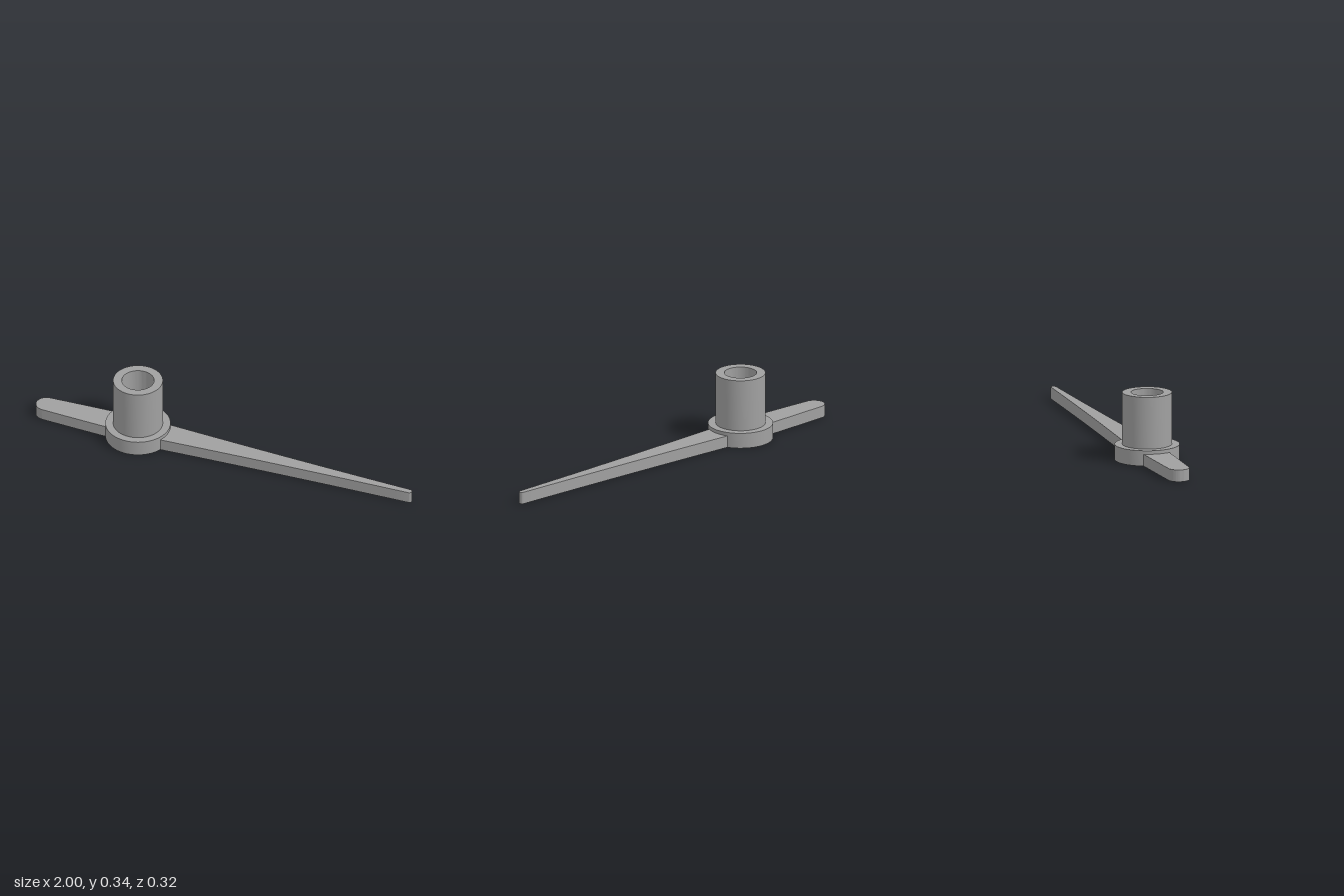
import * as THREE from 'three';
import { toCreasedNormals } from 'three/addons/utils/BufferGeometryUtils.js';

const HUB_X = -0.46, HUB_R = 0.161, ARM_H = 0.06;

export function createModel() {
  const model = new THREE.Group();
  model.name = 'pointerHand';
  const grey = new THREE.MeshStandardMaterial({ color: 0xa0a0a0 });
  grey.name = 'plain grey';

  const add = (name, geometry) => {
    const mesh = new THREE.Mesh(toCreasedNormals(geometry, 0.5), grey);
    mesh.name = name;
    model.add(mesh);
    return mesh;
  };

  // Flanged hub with hollow barrel, shaft hole and underside recess
  const profile = [
    [0.043, 0.03], [0.08, 0.03], [0.08, 0], [HUB_R, 0], [HUB_R, 0.078],
    [0.123, 0.078], [0.123, 0.34], [0.08, 0.34], [0.08, 0.078],
    [0.043, 0.078], [0.043, 0.03],
  ].map(([r, y]) => new THREE.Vector2(r, y));
  add('hub', new THREE.LatheGeometry(profile, 64)).position.x = HUB_X;

  // Arm outline: starts on the hub rim, tapers to a round end at distance `length`.
  // `bow` is the half width at the taper's control point.
  const arm = (name, length, rootHalf, bow, endR, side) => {
    const a = Math.asin(rootHalf / HUB_R);
    const rootX = HUB_R * Math.cos(a), endX = length - endR;
    const midX = (rootX + endX) / 2;
    const s = new THREE.Shape();
    s.moveTo(rootX, -rootHalf);
    s.quadraticCurveTo(midX, -bow, endX, -endR);
    s.absarc(endX, 0, endR, -Math.PI / 2, Math.PI / 2, false);
    s.quadraticCurveTo(midX, bow, rootX, rootHalf);
    s.absarc(0, 0, HUB_R, a, -a, true);
    const g = new THREE.ExtrudeGeometry(s, { depth: ARM_H, bevelEnabled: false, curveSegments: 20 });
    g.rotateX(-Math.PI / 2);
    if (side < 0) g.rotateY(Math.PI);
    add(name, g).position.x = HUB_X;
  };
  arm('longPointer', 1 - HUB_X, 0.067, 0.032, 0.014, 1);
  arm('shortTail', 1 + HUB_X, 0.067, 0.061, 0.053, -1);

  return model;
}
